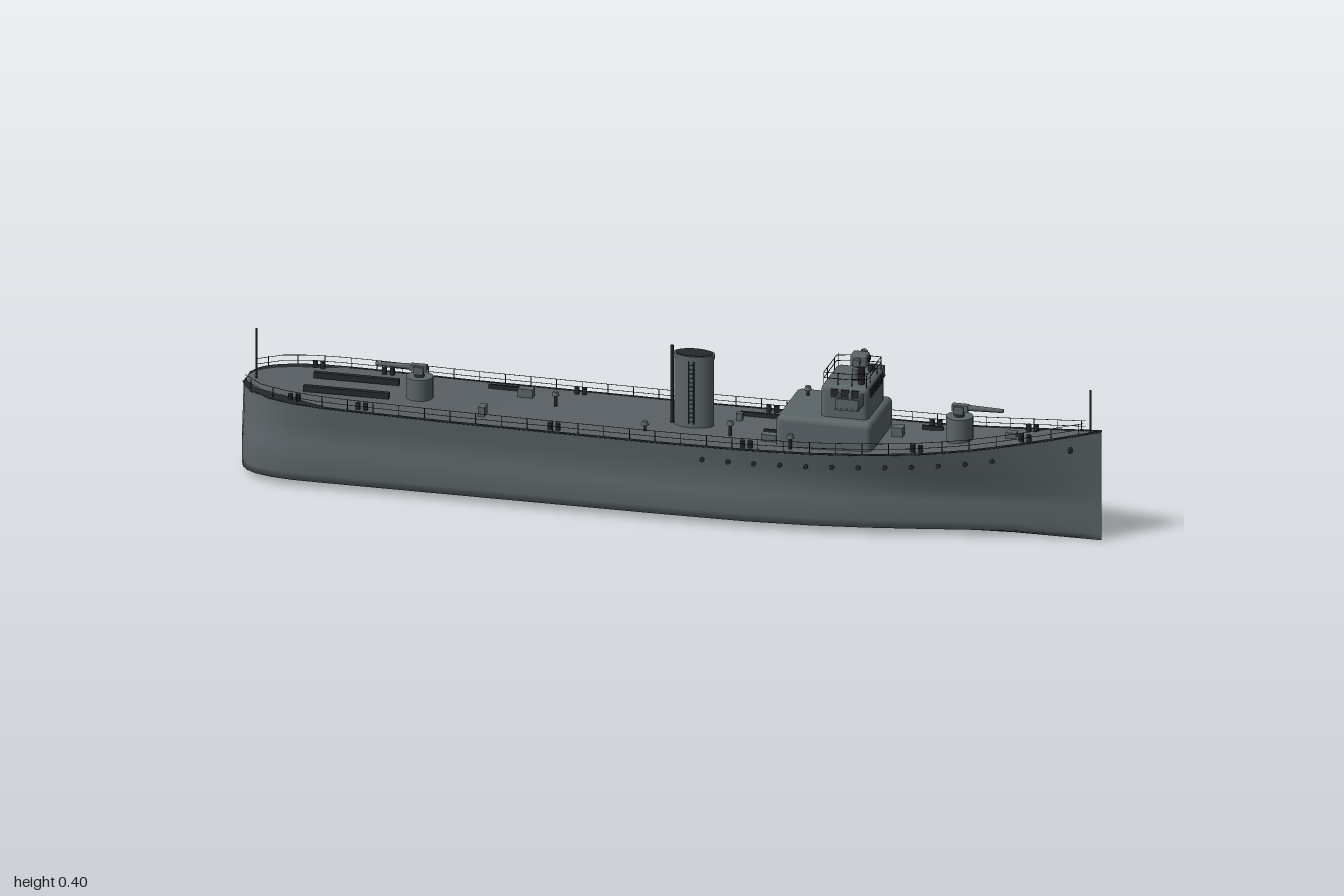
import * as THREE from 'three';
import { RoundedBoxGeometry } from 'three/addons/geometries/RoundedBoxGeometry.js';

const mat = (name, color) => Object.assign(new THREE.MeshStandardMaterial({ color }), { name });
const V = (x, y, z) => new THREE.Vector3(x, y, z);

// Hull stations: x, deck half-width, lower half-width, deck height
const STATIONS = [
  [-1, 0.03, 0.045, 0.205], [-0.99, 0.058, 0.075, 0.205], [-0.975, 0.078, 0.096, 0.204], [-0.95, 0.097, 0.114, 0.203],
  [-0.91, 0.115, 0.127, 0.202], [-0.86, 0.127, 0.134, 0.2], [-0.78, 0.135, 0.135, 0.198], [-0.5, 0.136, 0.135, 0.193],
  [0, 0.136, 0.135, 0.19], [0.2, 0.135, 0.132, 0.191], [0.35, 0.13, 0.12, 0.194], [0.48, 0.119, 0.1, 0.199],
  [0.6, 0.102, 0.076, 0.206], [0.7, 0.083, 0.054, 0.216], [0.8, 0.059, 0.034, 0.23], [0.9, 0.031, 0.016, 0.246],
  [0.96, 0.013, 0.006, 0.256], [1, 0, 0, 0.263],
];

function station(x) {
  let i = 0;
  while (i < STATIONS.length - 2 && STATIONS[i + 1][0] < x) i++;
  const a = STATIONS[i], b = STATIONS[i + 1], t = (x - a[0]) / (b[0] - a[0]);
  const [deck, low, top] = [1, 2, 3].map((k) => a[k] + (b[k] - a[k]) * t);
  return { deck, low, top };
}

// Half section from deck edge down to keel: [z, y]
function section({ deck, low, top }) {
  const waist = low * 0.93;
  return [[deck, top], [waist + (deck - waist) * 0.5, 0.15], [waist, 0.106], [low, 0.085],
    [low, 0.035], [low * 0.975, 0.016], [low * 0.6, 0.009], [0, 0]];
}

function skin(rows, flip) {
  const n = rows[0].length, index = [];
  for (let i = 0; i < rows.length - 1; i++) for (let j = 0; j < n - 1; j++) {
    const a = i * n + j, b = a + 1, c = b + n, d = a + n;
    index.push(...(flip ? [a, c, b, a, d, c] : [a, b, c, a, c, d]));
  }
  const g = new THREE.BufferGeometry();
  g.setAttribute('position', new THREE.Float32BufferAttribute(rows.flat(2), 3));
  g.setIndex(index);
  g.computeVertexNormals();
  return g;
}

export function createModel() {
  const ship = new THREE.Group();
  ship.name = 'warship';
  const grey = mat('hullGrey', 0x5b6568), deckGrey = mat('deckGrey', 0x5a6064), dark = mat('darkFittings', 0x25292b);

  const add = (name, geo, material, x = 0, y = 0, z = 0, parent = ship) => {
    const m = new THREE.Mesh(geo, material);
    m.name = name;
    m.position.set(x, y, z);
    parent.add(m);
    return m;
  };
  const box = (name, m, x, y, z, w, h, d) => add(name, new THREE.BoxGeometry(w, h, d), m, x, y, z);
  const cyl = (name, m, x, y, z, r, h, seg = 12, r2 = r) => add(name, new THREE.CylinderGeometry(r2, r, h, seg), m, x, y + h / 2, z);
  const rod = (name, m, pts, r) => {
    const path = new THREE.CurvePath();
    for (let i = 0; i < pts.length - 1; i++) path.add(new THREE.LineCurve3(pts[i], pts[i + 1]));
    return add(name, new THREE.TubeGeometry(path, Math.max(1, (pts.length - 1) * 2), r, 5), m);
  };
  const deckY = (x) => station(x).top;

  // Hull and deck
  const xs = STATIONS.map((s) => s[0]);
  const rows = xs.map((x) => {
    const half = section(station(x));
    return [...half.map(([z, y]) => [x, y, z]), ...half.slice(0, -1).reverse().map(([z, y]) => [x, y, -z])];
  });
  add('hull', skin(rows), grey);
  const transom = new THREE.Shape(rows[0].map((p) => new THREE.Vector2(p[2], p[1])));
  add('transom', new THREE.ShapeGeometry(transom), grey, -1).rotation.y = -Math.PI / 2;
  add('deck', skin(xs.map((x) => { const s = station(x); return [[x, s.top, s.deck], [x, s.top, -s.deck]]; }), true), deckGrey);

  for (const side of [1, -1]) {
    // Deck edge, dark stern margin and railings
    const edge = (x, h, inset) => V(x, deckY(x) + h, side * Math.max(0.001, station(x).deck - inset));
    rod('deckEdge', dark, xs.map((x) => edge(x, 0, 0)), 0.0025);
    const margin = xs.filter((x) => x <= -0.78).map((x) => [0, x > -0.8 ? 0.003 : 0.024].map((d) => edge(x, 0.002, d).toArray()));
    add('sternMargin', skin(margin, side > 0), dark).material.side = THREE.DoubleSide;
    const railXs = xs.filter((x) => x > -0.995 && x < 0.97);
    for (const h of [0.012, 0.025]) rod('railing', dark, railXs.map((x) => edge(x, h, 0.004)), 0.0007);
    for (let x = -0.97; x < 0.96; x += 0.06) cyl('railPost', dark, x, deckY(x), edge(x, 0, 0.004).z, 0.001, 0.025, 5);

    // Portholes follow the sheer
    for (let i = 0; i < 12; i++) {
      const x = 0.1 + i * 0.06, s = station(x), y = s.top - 0.034;
      const [p, q] = section(s), t = (y - q[1]) / (p[1] - q[1]);
      const port = cyl('porthole', dark, x, y, side * (q[0] + (p[0] - q[0]) * t), 0.006, 0.006, 10);
      port.position.y = y;
      port.rotation.x = Math.PI / 2;
    }
    const hawse = add('hawsePipe', new THREE.SphereGeometry(0.01, 10, 8), dark, 0.93, 0.218, side * 0.018);
    hawse.scale.set(0.8, 1.1, 0.5);

    // Stern rails and mooring bollards
    box('sternTrack', dark, -0.755, 0.208, side * 0.045, 0.2, 0.014, 0.012);
    for (const x of [-0.86, -0.7, -0.25, 0.2, 0.59, 0.83]) for (const d of [-0.009, 0.009]) {
      cyl('bollard', dark, x + d, deckY(x), side * (station(x).deck - 0.017), 0.006, 0.016, 8);
    }
  }

  // Deckhouse and bridge
  add('deckhouse', new RoundedBoxGeometry(0.225, 0.1, 0.196, 3, 0.014), grey, 0.375, 0.216, 0);
  add('bridge', new RoundedBoxGeometry(0.112, 0.09, 0.148, 3, 0.014), grey, 0.417, 0.297, 0);
  for (let i = -2; i <= 2; i++) box('frontWindow', dark, 0.473, 0.324, i * 0.023, 0.004, 0.02, 0.018);
  for (const side of [1, -1]) {
    for (let i = 0; i < 3; i++) box('sideWindow', dark, 0.395 + i * 0.024, 0.324, side * 0.074, 0.018, 0.02, 0.003);
    box('wingFloor', grey, 0.435, 0.304, side * 0.096, 0.055, 0.004, 0.05);
    box('wingFront', grey, 0.46, 0.317, side * 0.096, 0.004, 0.024, 0.046);
    box('wingEnd', grey, 0.435, 0.317, side * 0.118, 0.05, 0.024, 0.003);
    box('wingBack', grey, 0.41, 0.317, side * 0.096, 0.004, 0.024, 0.046);
    cyl('bridgeSearchlight', dark, 0.45, 0.342, side * 0.045, 0.008, 0.014, 10);
    cyl('bridgeBinnacle', grey, 0.43, 0.342, side * 0.022, 0.008, 0.026, 10);
  }

  // Bridge roof railing
  const corner = (h) => [[0.367, 0.064], [0.467, 0.064], [0.467, -0.064], [0.367, -0.064], [0.367, 0.064]].map(([x, z]) => V(x, h, z));
  for (const h of [0.356, 0.369]) rod('roofRail', dark, corner(h), 0.001);
  for (const x of [0.367, 0.4, 0.433, 0.467]) for (const z of [-0.064, 0.064]) cyl('roofRailPost', dark, x, 0.34, z, 0.001, 0.03, 5);
  for (const x of [0.367, 0.467]) for (const z of [-0.03, 0.03]) cyl('roofRailPost', dark, x, 0.34, z, 0.001, 0.03, 5);

  // Rangefinder
  cyl('rangefinderPedestal', dark, 0.435, 0.34, 0, 0.012, 0.032);
  add('rangefinderBody', new RoundedBoxGeometry(0.04, 0.03, 0.034, 2, 0.006), grey, 0.435, 0.384, 0);
  cyl('rangefinderArm', grey, 0.435, 0.387, 0, 0.006, 0.072).rotation.x = Math.PI / 2;
  ship.children.at(-1).position.y = 0.387;
  for (const side of [1, -1]) {
    const end = cyl('rangefinderLens', grey, 0.435, 0, side * 0.033, 0.009, 0.012);
    end.rotation.x = Math.PI / 2;
    end.position.y = 0.387;
    box('rangefinderWindow', dark, 0.456, 0.387, side * 0.006, 0.003, 0.01, 0.007);
  }

  // Funnel with cap, steam pipe and ladder
  const oval = (name, m, y, h, s) => cyl(name, m, 0.047, y, 0, 0.046 * s, h, 28).scale.set(1, 1, 0.58);
  oval('funnel', grey, 0.185, 0.17, 1);
  oval('funnelRim', grey, 0.352, 0.01, 1.05);
  oval('funnelMouth', dark, 0.356, 0.0075, 0.94);
  cyl('steamPipe', dark, -0.005, 0.19, 0, 0.004, 0.186, 8);
  for (const side of [1, -1]) {
    for (const x of [0.041, 0.053]) cyl('funnelLadderRail', dark, x, 0.2, side * 0.028, 0.0015, 0.15, 5);
    for (let i = 0; i < 14; i++) box('funnelRung', dark, 0.047, 0.205 + i * 0.0105, side * 0.028, 0.012, 0.002, 0.002);
  }

  // Deck guns: round platform, pivot, breech, shield and barrel
  const gun = (name, x, base, top, dir) => {
    cyl(name + 'Platform', grey, x, base, 0, 0.031, top - base, 24);
    cyl(name + 'Pivot', dark, x, top, 0, 0.012, 0.014, 12, 0.008);
    const y = top + 0.02;
    const g = new THREE.Group();
    g.name = name;
    g.position.set(x, y, 0);
    g.rotation.y = dir > 0 ? 0 : Math.PI;
    ship.add(g);
    add('breech', new THREE.BoxGeometry(0.038, 0.015, 0.016), grey, 0.002, 0, 0, g);
    for (const z of [-0.012, 0.012]) add('gunCheek', new THREE.BoxGeometry(0.024, 0.018, 0.004), grey, 0, -0.004, z, g);
    add('barrel', new THREE.CylinderGeometry(0.0045, 0.007, 0.085, 10), grey, 0.06, 0.001, 0, g).rotation.z = -Math.PI / 2;
  };
  gun('foreGun', 0.668, 0.2, 0.269, 1);
  gun('aftGun', -0.596, 0.19, 0.245, -1);

  // Flagstaffs
  cyl('sternStaff', dark, -0.978, 0.2, 0, 0.0025, 0.124, 6);
  cyl('bowStaff', dark, 0.974, 0.255, 0, 0.0025, 0.105, 6);

  // Ventilators with mushroom heads
  for (const [x, z, h] of [[0.3, 0.108, 0.03], [-0.285, -0.028, 0.03], [0.145, 0.052, 0.03], [0.3, -0.05, 0.09], [-0.05, 0.07, 0.018]]) {
    cyl('ventStem', dark, x, deckY(x), z, 0.004, h, 8);
    cyl('ventHead', grey, x, deckY(x) + h - 0.004, z, 0.009, 0.009, 12, 0.006);
  }

  // Hatches, lockers, winches and long spars: x, z, length, height, depth
  for (const [x, z, w, h, d] of [[-0.365, -0.072, 0.035, 0.02, 0.022], [-0.43, 0.07, 0.015, 0.022, 0.028], [0.24, 0.062, 0.035, 0.016, 0.02],
    [0.52, -0.018, 0.025, 0.022, 0.025], [0.14, -0.05, 0.014, 0.018, 0.014], [0.79, 0, 0.025, 0.014, 0.02]]) {
    box('hatch', grey, x, deckY(x) + h / 2, z, w, h, d);
  }
  for (const [x, z, w] of [[0.18, -0.08, 0.09], [-0.42, -0.1, 0.08], [0.24, 0.02, 0.05], [0.59, -0.06, 0.05]]) {
    box('deckSpar', dark, x, deckY(x) + 0.005, z, w, 0.01, 0.006);
  }
  return ship;
}
